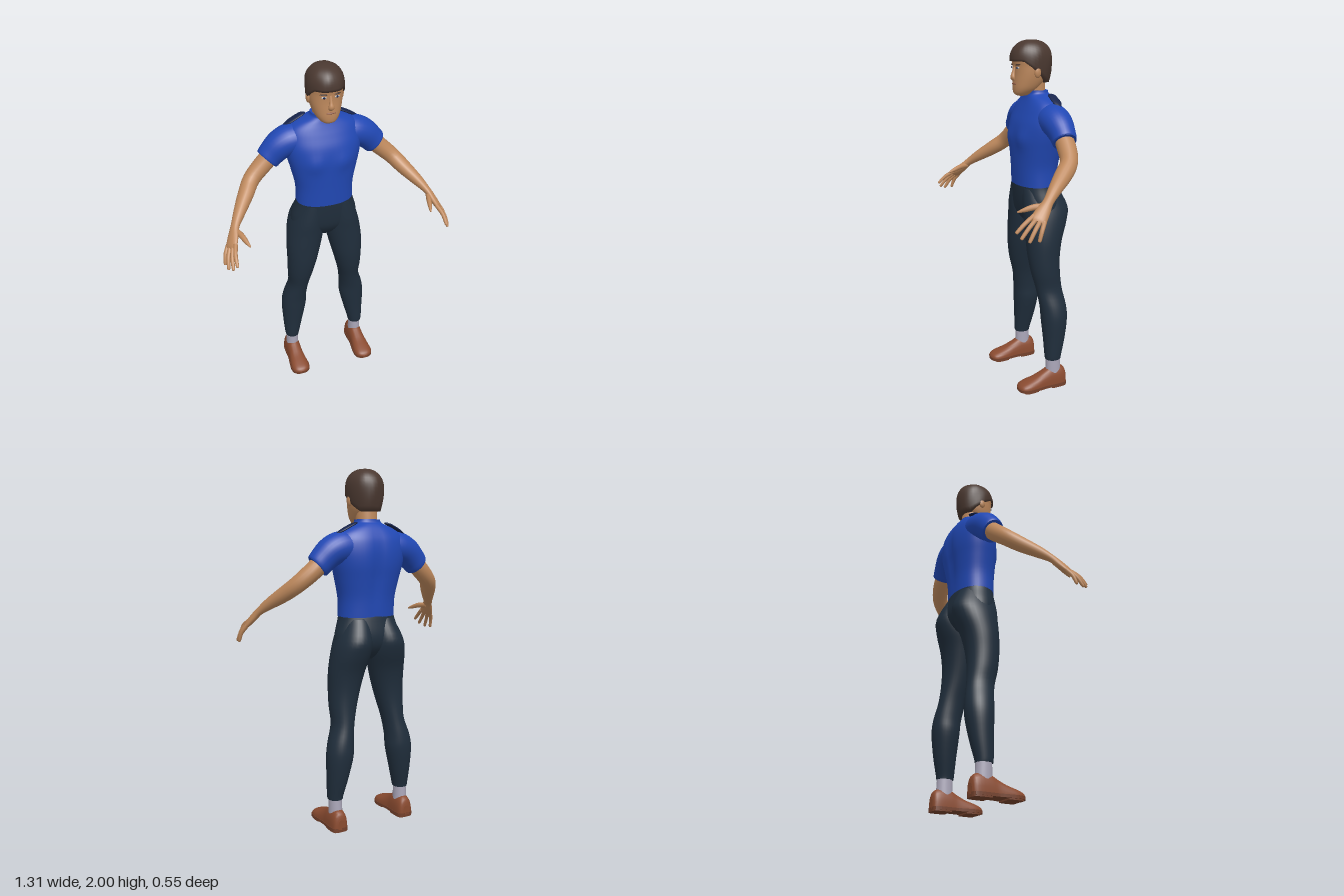
import * as THREE from 'three';

const mat = (name, color, side) => {
  const m = new THREE.MeshStandardMaterial({ color });
  m.name = name;
  return m;
};

// Smoothly interpolate rows of numbers with a Catmull-Rom rule
function smoothRows(keys, sub) {
  const out = [], n = keys.length - 1;
  for (let i = 0; i < n; i++) {
    const a = keys[Math.max(i - 1, 0)], b = keys[i], c = keys[i + 1], d = keys[Math.min(i + 2, n)];
    for (let k = 0; k < sub; k++) {
      const t = k / sub;
      out.push(b.map((_, j) => 0.5 * (2 * b[j] + (c[j] - a[j]) * t
        + (2 * a[j] - 5 * b[j] + 4 * c[j] - d[j]) * t * t
        + (3 * b[j] - a[j] - 3 * c[j] + d[j]) * t * t * t)));
    }
  }
  out.push(keys[n]);
  return out;
}

// Skin a list of closed rings, cap both ends, and turn every face outward
function skin(rings) {
  const pos = [], idx = [], n = rings[0].length;
  const add = p => pos.push(p.x, p.y, p.z) / 3 - 1;
  rings.forEach(r => r.forEach(add));
  for (let i = 0; i < rings.length - 1; i++) for (let j = 0; j < n; j++) {
    const a = i * n + j, b = i * n + (j + 1) % n;
    idx.push(a, b, a + n, b, b + n, a + n);
  }
  [rings[0], rings[rings.length - 1]].forEach((r, e) => {
    const mid = r.reduce((s, p) => s.add(p), new THREE.Vector3()).divideScalar(n);
    const c = add(mid), start = c + 1;
    r.forEach(add);
    for (let j = 0; j < n; j++) {
      const a = start + j, b = start + (j + 1) % n;
      e ? idx.push(c, a, b) : idx.push(c, b, a);
    }
  });
  const v = k => new THREE.Vector3().fromArray(pos, 3 * k);
  let volume = 0;
  for (let i = 0; i < idx.length; i += 3) volume += v(idx[i]).dot(v(idx[i + 1]).cross(v(idx[i + 2])));
  if (volume < 0) idx.reverse();
  const g = new THREE.BufferGeometry();
  g.setAttribute('position', new THREE.Float32BufferAttribute(pos, 3));
  g.setIndex(idx);
  g.computeVertexNormals();
  return g;
}

const pow = (v, e) => Math.sign(v) * Math.abs(v) ** e;

// Horizontal sections: [y, centre x, half width, front z, back z]
function stack(keys, { side = 1, seg = 32, sub = 4, exp = 2, bend } = {}) {
  return skin(smoothRows(keys, sub).map(([y, cx, w, zf, zb]) => Array.from({ length: seg }, (_, j) => {
    const a = j / seg * Math.PI * 2;
    const p = new THREE.Vector3(side * (cx + w * pow(Math.cos(a), 2 / exp)), y,
      (zf + zb) / 2 + (zf - zb) / 2 * pow(Math.sin(a), 2 / exp));
    if (bend) bend(p, Math.sin(a));
    return p;
  })));
}

// Sections along a path: [x, y, z, radius along ref, other radius]
function limb(keys, ref, { side = 1, seg = 18, sub = 4 } = {}) {
  const rows = smoothRows(keys, sub), at = r => new THREE.Vector3(r[0], r[1], r[2]);
  return skin(rows.map((r, i) => {
    const t = at(rows[Math.min(i + 1, rows.length - 1)]).sub(at(rows[Math.max(i - 1, 0)])).normalize();
    const v = t.clone().cross(ref).normalize(), u = v.clone().cross(t);
    return Array.from({ length: seg }, (_, j) => {
      const a = j / seg * Math.PI * 2;
      const p = at(r).addScaledVector(u, r[3] * Math.cos(a)).addScaledVector(v, r[4] * Math.sin(a));
      p.x *= side;
      return p;
    });
  }));
}

export function createModel() {
  const root = new THREE.Group();
  root.name = 'standingMan';
  const skinTone = mat('skin', 0xbd885c), hairBrown = mat('hair', 0x4a3830), blue = mat('shirtBlue', 0x2148b4);
  const navy = mat('trouserNavy', 0x202e3c), trim = mat('shoulderNavy', 0x16234a), sock = mat('sockGrey', 0xaaa6b8);
  const leather = mat('shoeLeather', 0x8a4b30), sole = mat('sole', 0x74412c);
  const white = mat('eyeWhite', 0xc9c4be), lip = mat('lip', 0x8f5a45);
  const add = (name, geo, m, parent = root) => {
    const mesh = new THREE.Mesh(geo, m);
    mesh.name = name;
    parent.add(mesh);
    return mesh;
  };
  const blob = (name, m, x, y, z, sx, sy, sz, ry = 0) => {
    const b = add(name, new THREE.SphereGeometry(1, 16, 10), m);
    b.position.set(x, y, z);
    b.scale.set(sx, sy, sz);
    b.rotation.y = ry;
    return b;
  };

  // Shirt body with chest muscles and a groove down the back
  add('shirtBody', stack([
    [1.2, 0, .165, 0, -.228], [1.3, 0, .166, .004, -.235], [1.4, 0, .187, .008, -.25],
    [1.48, 0, .207, .008, -.263], [1.55, 0, .217, -.002, -.265], [1.61, 0, .212, -.025, -.256],
    [1.65, 0, .19, -.042, -.24], [1.68, 0, .145, -.054, -.222], [1.7, 0, .098, -.06, -.205],
    [1.712, 0, .076, -.062, -.192], [1.728, 0, .07, -.06, -.187],
  ], {
    seg: 48, exp: 2.25, bend: (p, s) => {
      const chest = Math.exp(-(((Math.abs(p.x) - .085) / .05) ** 2) - ((p.y - 1.465) / .05) ** 2);
      const spine = Math.exp(-((p.x / .035) ** 2) - ((p.y - 1.45) / .16) ** 2);
      if (s > 0) p.z += .013 * chest * s;
      else p.z += .016 * spine * -s;
    },
  }), blue);

  // Trouser hips
  add('hips', stack([
    [1.215, 0, .163, -.002, -.224], [1.18, 0, .17, -.002, -.232], [1.1, 0, .194, -.008, -.245],
    [1.04, 0, .19, -.02, -.235], [.99, 0, .12, -.05, -.2], [.96, 0, .04, -.08, -.16],
  ], { seg: 40, exp: 2.2 }), navy);

  // Neck and head
  add('neck', stack([[1.66, 0, .06, -.065, -.18], [1.74, 0, .06, -.055, -.175], [1.8, 0, .06, -.05, -.17]]), skinTone);
  add('head', stack([
    [1.7, 0, .026, -.012, -.06], [1.712, 0, .044, .006, -.09], [1.74, 0, .066, .011, -.13],
    [1.78, 0, .081, .01, -.165], [1.82, 0, .089, .008, -.18], [1.86, 0, .092, .009, -.19],
    [1.9, 0, .092, .012, -.19], [1.95, 0, .07, -.01, -.17], [1.975, 0, .03, -.05, -.13],
  ], { exp: 2.2 }), skinTone);
  add('nose', limb([[0, 1.86, .003, .008, .008], [0, 1.825, .012, .01, .01],
    [0, 1.8, .017, .016, .013], [0, 1.785, .01, .012, .007]], new THREE.Vector3(1, 0, 0)), skinTone);
  blob('mouth', lip, 0, 1.765, .01, .026, .005, .005);

  // Hair cap: low at the nape, high over the forehead
  const hairRings = [], rows = 14, seg = 36;
  for (let i = 0; i <= rows + 1; i++) {
    hairRings.push(Array.from({ length: seg }, (_, j) => {
      const a = j / seg * Math.PI * 2, s = Math.sin(a);
      const low = s > 0 ? 1.825 + .06 * Math.min(1, s * 1.5) : 1.825 - .055 * Math.min(1, -s * 1.6);
      const t = Math.min(i / rows, .995), y = i > rows ? low : 2 - (2 - low) * t ** 1.7;
      const up = Math.max(0, (y - 1.89) / .11), down = Math.max(0, (1.89 - y) / .12);
      let r = (1 - Math.min(1, up) ** 2.3) ** (1 / 2.3) * (1 - .16 * down * down);
      r *= 1 + .015 * Math.sin(a * 7 + y * 30);
      if (i > rows) r *= .8;
      return new THREE.Vector3(.103 * r * Math.cos(a), y, -.093 + .12 * r * s);
    }));
  }
  add('hair', skin(hairRings), hairBrown);

  // Sole outline shared by both shoes: [z, half width, top height]
  const shoe = [[-.221, .022, .07], [-.212, .04, .105], [-.18, .047, .122], [-.12, .047, .122], [-.08, .047, .102],
    [-.03, .053, .078], [.02, .057, .062], [.055, .05, .05], [.072, .034, .04], [.08, .014, .028]];

  const across = new THREE.Vector3(.566, -.424, -.707); // from index finger to little finger
  for (const side of [1, -1]) {
    const label = side > 0 ? 'left' : 'right';

    // Face details
    blob(label + 'Ear', skinTone, side * .092, 1.828, -.09, .012, .03, .02);
    blob(label + 'Eye', white, side * .036, 1.852, .004, .015, .006, .004, side * .25);
    blob(label + 'Iris', trim, side * .035, 1.852, .006, .007, .006, .004, side * .25);
    const brow = blob(label + 'Brow', hairBrown, side * .038, 1.868, .004, .021, .004, .006, side * .25);
    brow.rotation.z = side * .06;

    // Sleeve and shoulder strap
    add(label + 'Sleeve', limb([
      [.08, 1.575, -.145, .085, .085], [.17, 1.578, -.145, .088, .09], [.235, 1.555, -.145, .082, .083],
      [.285, 1.512, -.145, .074, .071], [.308, 1.486, -.144, .07, .067], [.316, 1.478, -.143, .066, .063],
    ], new THREE.Vector3(0, 1, 0), { side, seg: 28 }), blue);
    add(label + 'ShoulderStrap', limb([
      [.088, 1.708, -.168, .003, .008], [.105, 1.704, -.168, .007, .021], [.14, 1.688, -.168, .008, .025],
      [.18, 1.667, -.168, .008, .023], [.212, 1.65, -.168, .004, .006],
    ], new THREE.Vector3(0, 1, 0), { side }), trim);

    // Bare arm running into the palm
    add(label + 'Arm', limb([
      [.26, 1.53, -.145, .05, .05], [.34, 1.455, -.14, .052, .05], [.415, 1.388, -.115, .047, .046],
      [.465, 1.335, -.055, .046, .042], [.52, 1.28, .02, .035, .032], [.56, 1.235, .075, .027, .021],
      [.58, 1.2, .11, .035, .02], [.6, 1.165, .145, .041, .016], [.608, 1.152, .157, .036, .01],
    ], across, { side }), skinTone);

    // Fingers fan out from the knuckles
    const tips = [[.6, 1.105, .27], [.62, 1.078, .252], [.64, 1.062, .217], [.648, 1.062, .167]];
    tips.forEach((tip, i) => {
      const k = -.031 + i * .0205;
      const base = [.6 + across.x * k, 1.165 + across.y * k, .145 + across.z * k];
      const mid = base.map((b, j) => (b + tip[j]) / 2 + [.006, .006, .003][j]);
      const end = tip.map((b, j) => b + (b - mid[j]) * -.12);
      add(label + 'Finger' + (i + 1), limb([[...base, .012, .012], [...mid, .011, .011], [...end, .009, .008],
        [...tip, .003, .003]], across, { side, seg: 10 }), skinTone);
    });
    add(label + 'Thumb', limb([[.562, 1.215, .09, .016, .014], [.542, 1.21, .145, .016, .014],
      [.528, 1.197, .19, .012, .011], [.516, 1.186, .225, .004, .004]], across, { side, seg: 10 }), skinTone);

    // Trouser leg and sock
    add(label + 'TrouserLeg', stack([
      [1.19, .075, .075, -.012, -.222], [1.08, .099, .097, -.008, -.273], [1, .111, .107, -.012, -.262],
      [.9, .128, .102, -.015, -.225], [.8, .141, .09, -.02, -.207], [.7, .154, .076, -.035, -.205],
      [.6, .165, .062, -.06, -.215], [.5, .186, .071, -.076, -.232], [.42, .194, .076, -.082, -.235],
      [.3, .206, .061, -.09, -.217], [.2, .216, .046, -.094, -.194], [.175, .217, .042, -.097, -.19],
    ], { side, exp: 2.1 }), navy);
    add(label + 'Sock', stack([[.21, .217, .036, -.102, -.186], [.09, .217, .038, -.1, -.192]], { side, sub: 1 }), sock);

    // Shoe upper, welt and heel
    const rowsOf = smoothRows(shoe, 3), cx = .217;
    add(label + 'Shoe', skin(rowsOf.map(([z, w, h]) => Array.from({ length: 24 }, (_, j) => {
      const a = j / 24 * Math.PI * 2, s = Math.sin(a);
      return new THREE.Vector3(side * (cx + w * pow(Math.cos(a), .8)), s > 0 ? .02 + (h - .02) * s ** .85 : .02 + .006 * s, z);
    }))), leather);
    const slab = (from, to, y0, y1, grow) => skin(rowsOf.filter(r => r[0] >= from && r[0] <= to).map(([z, w]) =>
      [[-1, y0], [1, y0], [1, y1], [-1, y1]].map(([q, y]) => new THREE.Vector3(side * (cx + q * (w + grow)), y, z))));
    add(label + 'Sole', slab(-.3, .1, .008, .024, .003).toNonIndexed(), sole).geometry.computeVertexNormals();
    add(label + 'Heel', slab(-.3, -.12, 0, .012, .001).toNonIndexed(), sole).geometry.computeVertexNormals();
    add(label + 'ForeSole', slab(-.04, .06, 0, .012, -.002).toNonIndexed(), sole).geometry.computeVertexNormals();
  }
  return root;
}
